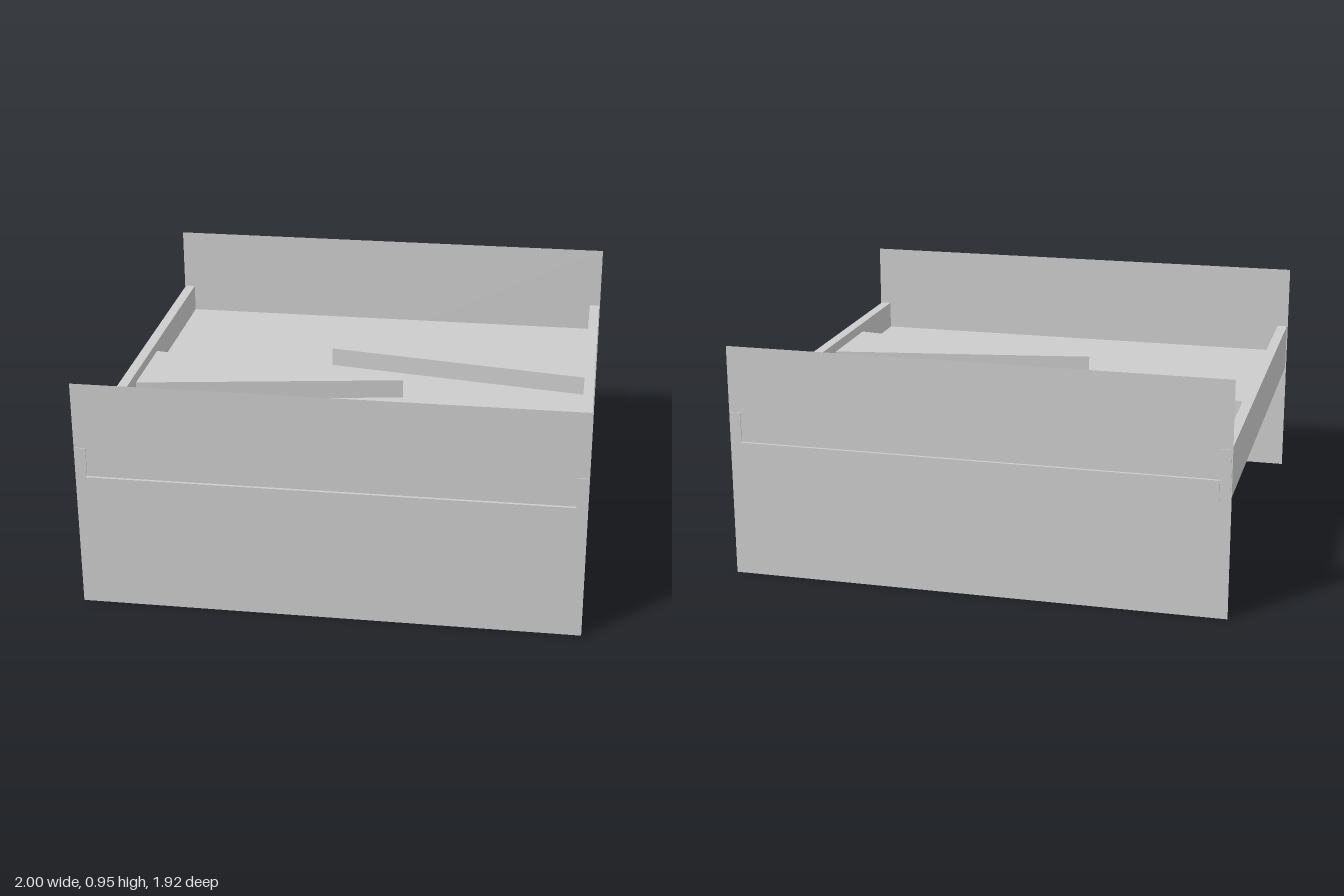
import * as THREE from 'three';

export function createModel() {
  const group = new THREE.Group();
  const solid = new THREE.MeshStandardMaterial({ color: 0xcccccc, flatShading: true });
  const sheet = new THREE.MeshStandardMaterial({ color: 0xcccccc, side: THREE.DoubleSide });

  const add = (name, geometry, material = solid) => {
    const mesh = new THREE.Mesh(geometry, material);
    mesh.name = name;
    group.add(mesh);
    return mesh;
  };

  const bottom = 0.48, floorTop = 0.56, wallTop = 0.68, baffleTop = 0.64;

  // Floor slab, slightly longer than the walls
  add('floor', new THREE.BoxGeometry(1.91, floorTop - bottom, 1.916))
    .position.set(0, (bottom + floorTop) / 2, 0);

  // Side walls and the thin upright end panels
  for (const s of [-1, 1]) {
    add(s > 0 ? 'leftWall' : 'rightWall', new THREE.BoxGeometry(0.043, wallTop - bottom, 1.9))
      .position.set(s * 0.974, (bottom + wallTop) / 2, 0);
    add(s > 0 ? 'frontPanel' : 'backPanel', new THREE.PlaneGeometry(2, 0.95), sheet)
      .position.set(0, 0.475, s * 0.946);
  }

  // Wedge baffles pointing inwards from alternate walls
  const baffle = (name, side, z) => {
    const shape = new THREE.Shape([
      new THREE.Vector2(side * 0.953, -0.185),
      new THREE.Vector2(side * 0.953, 0.185),
      new THREE.Vector2(-side * 0.18, 0),
    ]);
    const geometry = new THREE.ExtrudeGeometry(shape, { depth: baffleTop - floorTop, bevelEnabled: false });
    geometry.rotateX(-Math.PI / 2);
    add(name, geometry).position.set(0, floorTop, z);
  };
  baffle('backBaffle', 1, -0.328);
  baffle('middleBaffle', -1, -0.003);
  baffle('frontBaffle', 1, 0.341);

  return group;
}
